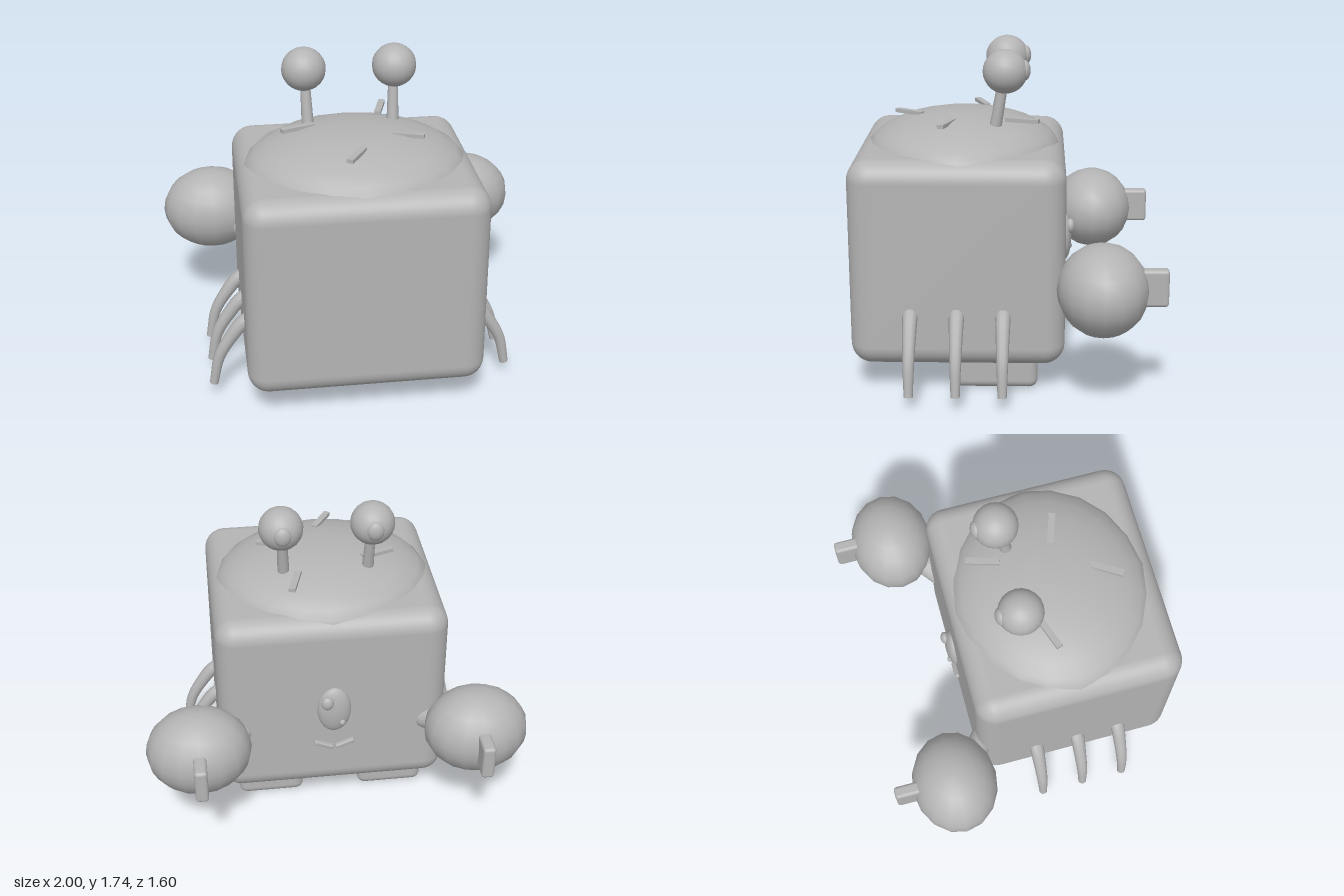
import * as THREE from 'three';
import { RoundedBoxGeometry } from 'three/addons/geometries/RoundedBoxGeometry.js';

const V = (x, y, z) => new THREE.Vector3(x, y, z);

export function createModel() {
  const model = new THREE.Group();
  model.name = 'boxCrab';
  const grey = new THREE.MeshStandardMaterial({ color: 0xb4b4b4 });
  grey.name = 'shell grey';

  const add = (name, geometry, position) => {
    const mesh = new THREE.Mesh(geometry, grey);
    mesh.name = name;
    if (position) mesh.position.copy(position);
    model.add(mesh);
    return mesh;
  };
  const ellipsoid = (rx, ry, rz, w = 16, h = 12) =>
    new THREE.SphereGeometry(1, w, h).scale(rx, ry, rz);
  const rounded = (w, h, d, r, s = 3) => new RoundedBoxGeometry(w, h, d, s, r);

  // Round rod from a to b, optionally tapered
  const rod = (name, a, b, r0, r1) => {
    const mesh = add(name, new THREE.CylinderGeometry(r1, r0, a.distanceTo(b), 12),
      a.clone().add(b).multiplyScalar(0.5));
    mesh.quaternion.setFromUnitVectors(V(0, 1, 0), b.clone().sub(a).normalize());
    return mesh;
  };

  // Curved leg: a tube whose rings shrink towards the tip, with flat ends
  const leg = (side, z) => {
    const curve = new THREE.CatmullRomCurve3([
      V(0.54, 0.46, 0), V(0.61, 0.43, 0), V(0.68, 0.345, 0), V(0.745, 0.23, 0), V(0.78, 0.07, 0),
    ].map((p) => V(p.x * side, p.y, z)));
    const rings = 16, sides = 10;
    const geometry = new THREE.TubeGeometry(curve, rings, 1, sides, false);
    const pos = geometry.attributes.position;
    const p = V(0, 0, 0);
    for (let i = 0; i <= rings; i++) {
      const center = curve.getPointAt(i / rings);
      const radius = 0.042 - 0.019 * (i / rings);
      for (let j = 0; j <= sides; j++) {
        const k = i * (sides + 1) + j;
        p.fromBufferAttribute(pos, k).sub(center).multiplyScalar(radius).add(center);
        pos.setXYZ(k, p.x, p.y, p.z);
      }
    }
    add('leg', geometry);
    const tip = add('legTip', new THREE.CircleGeometry(0.023, sides), curve.getPointAt(1));
    tip.quaternion.setFromUnitVectors(V(0, 0, 1), curve.getTangentAt(1));
  };

  // Box body and the domed shell on it
  add('body', rounded(1.22, 1.08, 1.1, 0.11, 5), V(0, 0.69, 0.25));
  add('dome', ellipsoid(0.58, 0.205, 0.515, 20, 14), V(0, 1.17, 0.24));

  // Short strokes lying on the dome: [x0, z0, x1, z1]
  for (const [x0, z0, x1, z1] of [
    [-0.37, 0.18, -0.2, 0.12], [0.15, 0.01, 0.2, -0.16],
    [0.18, 0.285, 0.34, 0.34], [-0.075, 0.6, 0.015, 0.455],
  ]) {
    const stroke = add('shellStroke',
      new THREE.BoxGeometry(Math.hypot(x1 - x0, z1 - z0), 0.02, 0.034),
      V((x0 + x1) / 2, 1.355, (z0 + z1) / 2));
    stroke.rotation.y = -Math.atan2(z1 - z0, x1 - x0);
  }

  for (const side of [1, -1]) {
    // Eye on a leaning stalk
    rod('eyeStalk', V(0.222 * side, 1.32, 0.065), V(0.23 * side, 1.57, 0.02), 0.032, 0.025);
    add('eye', ellipsoid(0.115, 0.113, 0.115, 20, 14), V(0.235 * side, 1.622, 0.012));
    add('pupil', ellipsoid(0.045, 0.052, 0.03), V(0.235 * side, 1.628, -0.087));

    // Arm, claw and pincer
    const a = V(0.5 * side, 0.555, -0.263), b = V(0.67 * side, 0.605, -0.41);
    const arm = add('arm', new THREE.CapsuleGeometry(0.066, a.distanceTo(b), 6, 14),
      a.clone().add(b).multiplyScalar(0.5));
    arm.quaternion.setFromUnitVectors(V(0, 1, 0), b.clone().sub(a).normalize());
    add('claw', ellipsoid(0.273, 0.23, 0.228), V(0.727 * side, 0.63, -0.48));
    add('pincer', rounded(0.066, 0.19, 0.2, 0.018), V(0.727 * side, 0.645, -0.703));

    // Legs and feet
    for (const z of [0.015, 0.25, 0.485]) leg(side, z);
    add('foot', rounded(0.36, 0.22, 0.45, 0.045), V(0.335 * side, 0.11, 0.063));

    // Half of the smile
    const lip = add('mouth', rounded(0.11, 0.024, 0.03, 0.008, 2), V(0.057 * side, 0.45, -0.308));
    lip.rotation.z = 0.38 * side;
  }

  // Oval face eye with two highlights
  add('faceEye', ellipsoid(0.09, 0.14, 0.042, 24, 14), V(0, 0.68, -0.3));
  add('largeHighlight', ellipsoid(0.034, 0.04, 0.025), V(0.04, 0.745, -0.333));
  add('smallHighlight', ellipsoid(0.016, 0.018, 0.014), V(-0.04, 0.61, -0.332));

  return model;
}
